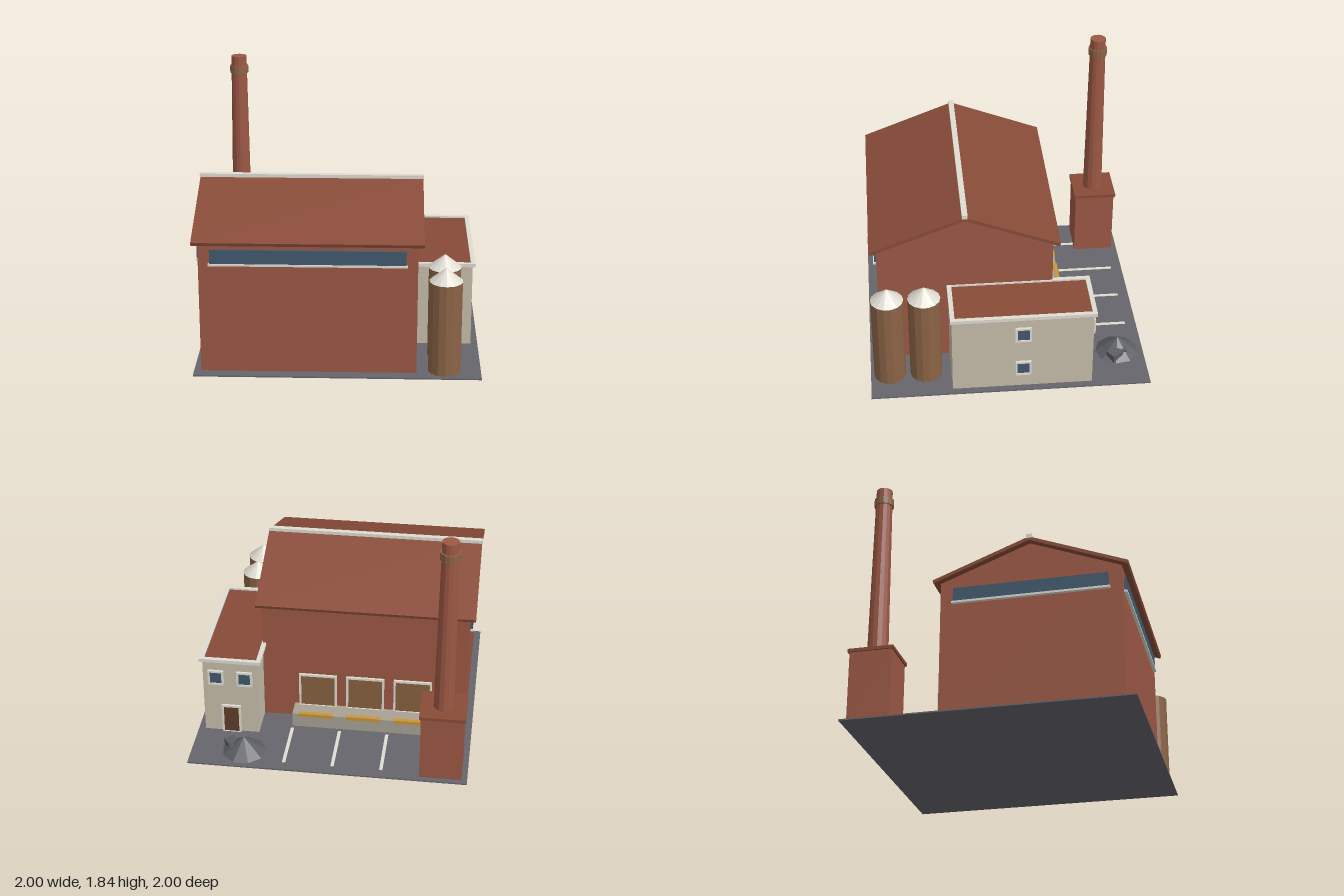
import * as THREE from 'three';

const mat = (color, extra = {}) => {
  const m = new THREE.MeshStandardMaterial({ ...extra });
  m.color.set(color);
  return m;
};
const M = {
  brick: mat(0x9c5844, { flatShading: true }),
  roof: mat(0x884b38, { flatShading: true }),
  trim: mat(0xdedcd2, { flatShading: true }),
  plaster: mat(0xc6bca9, { flatShading: true }),
  glass: mat(0x40596f),
  wood: mat(0x5e3d2a),
  shutter: mat(0x86603f),
  silo: mat(0x8c6446, { flatShading: true }),
  asphalt: mat(0x65656c),
  concrete: mat(0xa8a193),
  yellow: mat(0xc8963a),
  coal: mat(0x5c5e63, { flatShading: true }),
};

export function createModel() {
  const root = new THREE.Group();
  root.name = 'factory';

  const add = (name, geo, material, parent = root) => {
    const mesh = new THREE.Mesh(geo, material);
    mesh.name = name;
    parent.add(mesh);
    return mesh;
  };
  // box given by its minimum and maximum on each axis
  const box = (name, material, x0, x1, y0, y1, z0, z1, parent) => {
    const g = new THREE.BoxGeometry(x1 - x0, y1 - y0, z1 - z0);
    g.translate((x0 + x1) / 2, (y0 + y1) / 2, (z0 + z1) / 2);
    return add(name, g, material, parent);
  };
  // vertical cylinder or cone from y0 to y1
  const drum = (name, material, x, z, y0, y1, rBottom, rTop, sides, parent) => {
    const g = new THREE.CylinderGeometry(rTop, rBottom, y1 - y0, sides);
    g.translate(x, (y0 + y1) / 2, z);
    return add(name, g, material, parent);
  };
  // profile of [z, y] points extruded along x
  const alongX = (name, material, pts, x0, x1) => {
    const shape = new THREE.Shape(pts.map(([z, y]) => new THREE.Vector2(z, y)));
    const g = new THREE.ExtrudeGeometry(shape, { depth: x1 - x0, bevelEnabled: false });
    g.rotateY(-Math.PI / 2).translate(x1, 0, 0);
    return add(name, g, material);
  };
  const rectangle = (Type, w, h, y = 0) => new Type([
    new THREE.Vector2(-w / 2, y - h / 2), new THREE.Vector2(w / 2, y - h / 2),
    new THREE.Vector2(w / 2, y + h / 2), new THREE.Vector2(-w / 2, y + h / 2),
  ]);
  // framed panel on a wall; doors have no bottom rail
  const opening = (name, x, y, z, turn, w, h, panel, isDoor = false) => {
    const group = new THREE.Group();
    group.name = name;
    const t = 0.015;
    const frame = rectangle(THREE.Shape, w, h);
    frame.holes.push(isDoor
      ? rectangle(THREE.Path, w - 2 * t, h - t - 0.002, -t / 2)
      : rectangle(THREE.Path, w - 2 * t, h - 2 * t));
    add('frame', new THREE.ExtrudeGeometry(frame, { depth: 0.018, bevelEnabled: false }), M.trim, group);
    box('panel', panel, -w / 2 + 0.01, w / 2 - 0.01, -h / 2 + 0.002, h / 2 - 0.01, -0.005, 0.01, group);
    group.position.set(x, y, z);
    group.rotation.y = turn;
    root.add(group);
  };

  // ground with parking lines
  box('ground', M.asphalt, -1, 1, 0, 0.01, -1, 1);
  for (let i = 0; i < 4; i++) {
    const x = -0.735 + 0.35 * i;
    box('parkingLine', M.trim, x - 0.012, x + 0.012, 0.01, 0.014, -0.92, -0.5);
  }

  // main hall with gabled roof
  alongX('hallWalls', M.brick,
    [[-0.33, 0.01], [0.92, 0.01], [0.92, 0.965], [0.295, 1.205], [-0.33, 0.965]], -0.95, 0.55);
  alongX('hallRoof', M.roof,
    [[0.97, 0.978], [0.295, 1.238], [-0.38, 0.978], [-0.372, 0.955], [0.295, 1.211], [0.962, 0.955]], -0.99, 0.59);
  box('ridgeCap', M.trim, -0.995, 0.592, 1.225, 1.255, 0.275, 0.315);

  // long window bands on the front and left walls
  box('frontWindowBand', M.glass, -0.87, 0.47, 0.815, 0.915, 0.91, 0.935);
  box('frontSill', M.trim, -0.88, 0.48, 0.8, 0.815, 0.91, 0.942);
  box('leftWindowBand', M.glass, -0.967, -0.94, 0.815, 0.915, -0.24, 0.83);
  box('leftSill', M.trim, -0.975, -0.94, 0.8, 0.815, -0.25, 0.84);

  // loading dock, shutters and bumpers
  box('loadingDock', M.concrete, -0.73, 0.32, 0.01, 0.12, -0.47, -0.33);
  for (const x of [-0.555, -0.205, 0.145]) {
    opening('dockShutter', x, 0.255, -0.33, Math.PI, 0.28, 0.27, M.shutter, true);
    box('dockBumper', M.yellow, x - 0.125, x + 0.125, 0.1, 0.127, -0.476, -0.445);
  }
  opening('hallDoor', -0.83, 0.125, -0.33, Math.PI, 0.14, 0.23, M.wood, true);

  // office annex with flat roof and parapet
  box('officeWalls', M.plaster, 0.55, 0.95, 0.01, 0.615, -0.58, 0.42);
  box('officeRoof', M.roof, 0.55, 0.945, 0.61, 0.622, -0.57, 0.41);
  const parapet = rectangle(THREE.Shape, 0.445, 1.03);
  parapet.holes.push(rectangle(THREE.Path, 0.38, 0.965));
  const parapetGeo = new THREE.ExtrudeGeometry(parapet, { depth: 0.025, bevelEnabled: false });
  parapetGeo.rotateX(-Math.PI / 2).translate(0.7475, 0.61, -0.085);
  add('parapet', parapetGeo, M.trim);
  for (const y of [0.175, 0.475]) {
    opening('sideWindow', 0.95, y, -0.083, Math.PI / 2, 0.115, 0.12, M.glass);
  }
  for (const x of [0.645, 0.855]) {
    opening('backWindow', x, 0.475, -0.58, Math.PI, 0.115, 0.12, M.glass);
  }
  opening('officeDoor', 0.75, 0.125, -0.58, Math.PI, 0.14, 0.23, M.wood, true);

  // silos
  for (const z of [0.6, 0.86]) {
    drum('silo', M.silo, 0.745, z, 0.01, 0.68, 0.115, 0.115, 14);
    drum('siloCap', M.trim, 0.745, z, 0.68, 0.775, 0.117, 0, 14);
  }

  // chimney on a square base
  box('chimneyBase', M.brick, -0.96, -0.66, 0.01, 0.51, -0.96, -0.66);
  box('chimneyBaseCap', M.roof, -0.972, -0.648, 0.51, 0.533, -0.972, -0.648);
  drum('chimney', M.brick, -0.81, -0.81, 0.533, 1.84, 0.074, 0.058, 14);
  drum('chimneyBand', M.silo, -0.81, -0.81, 1.71, 1.765, 0.07, 0.07, 14);

  // coal heap with loose lumps
  drum('coalHeap', M.coal, 0.62, -0.81, 0.01, 0.13, 0.16, 0, 9);
  const lumps = [[0.715, 0.045, -0.78, 0.08, 0.6], [0.68, 0.05, -0.835, 0.06, 0.2]];
  for (const [x, y, z, size, turn] of lumps) {
    const lump = add('coalLump', new THREE.BoxGeometry(size, size * 0.75, size * 1.1), M.coal);
    lump.position.set(x, y, z);
    lump.rotation.set(0.1, turn, -0.1);
  }

  return root;
}
